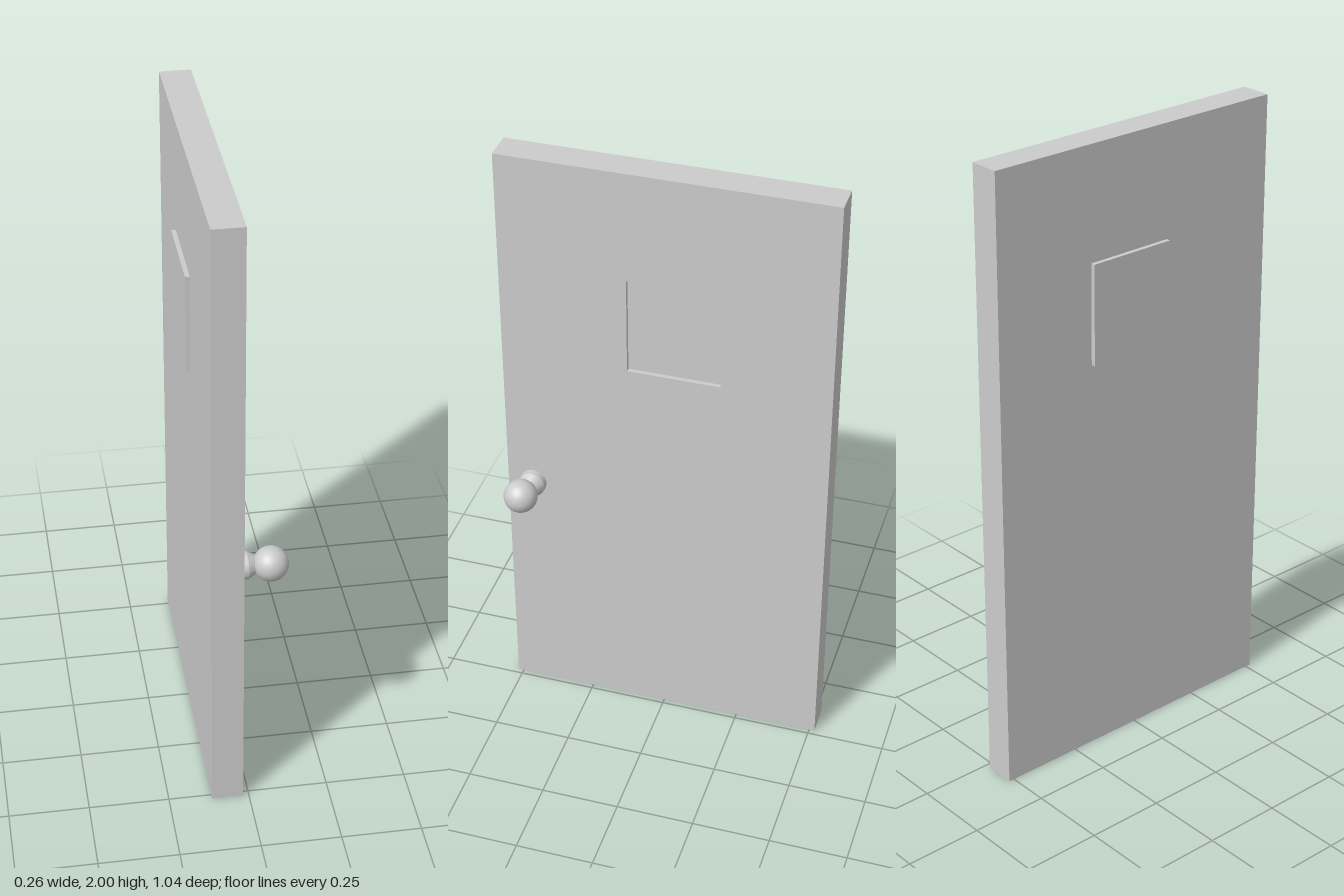
import * as THREE from 'three';

const mat = new THREE.MeshStandardMaterial({ color: 0xcccccc });

function add(group, name, geometry, x, y, z) {
  const mesh = new THREE.Mesh(geometry, mat);
  mesh.name = name;
  mesh.position.set(x, y, z);
  group.add(mesh);
  return mesh;
}

export function createModel() {
  const group = new THREE.Group();
  group.name = 'door';

  const xBack = -0.116, xFront = -0.018, depth = xFront - xBack;
  const win = { z0: -0.175, z1: 0.118, y0: 1.32, y1: 1.64 };

  // Door leaf with a rectangular opening, extruded along x
  const leaf = new THREE.Shape([
    new THREE.Vector2(-0.518, 0), new THREE.Vector2(0.518, 0),
    new THREE.Vector2(0.518, 2), new THREE.Vector2(-0.518, 2),
  ]);
  leaf.holes.push(new THREE.Path([
    new THREE.Vector2(-win.z0, win.y0), new THREE.Vector2(-win.z0, win.y1),
    new THREE.Vector2(-win.z1, win.y1), new THREE.Vector2(-win.z1, win.y0),
  ]));
  const leafGeo = new THREE.ExtrudeGeometry(leaf, { depth, bevelEnabled: false });
  leafGeo.rotateY(Math.PI / 2);
  add(group, 'doorLeaf', leafGeo, xBack, 0, 0);

  // Window pane, recessed on one side and proud on the other
  add(group, 'windowPane',
    new THREE.BoxGeometry(depth, win.y1 - win.y0, win.z1 - win.z0),
    (xBack + xFront) / 2 - 0.014, (win.y0 + win.y1) / 2, (win.z0 + win.z1) / 2);

  // Knob stem: short collar, then a taper into the ball
  const collar = new THREE.CylinderGeometry(0.043, 0.043, 0.022, 32);
  const taper = new THREE.CylinderGeometry(0.024, 0.043, 0.034, 32);
  for (const g of [collar, taper]) g.rotateZ(-Math.PI / 2);
  add(group, 'knobCollar', collar, -0.008, 0.83, 0.434);
  add(group, 'knobNeck', taper, 0.02, 0.83, 0.434);

  // Ball
  add(group, 'knobBall', new THREE.SphereGeometry(0.054, 32, 20), 0.073, 0.836, 0.445);

  return group;
}
